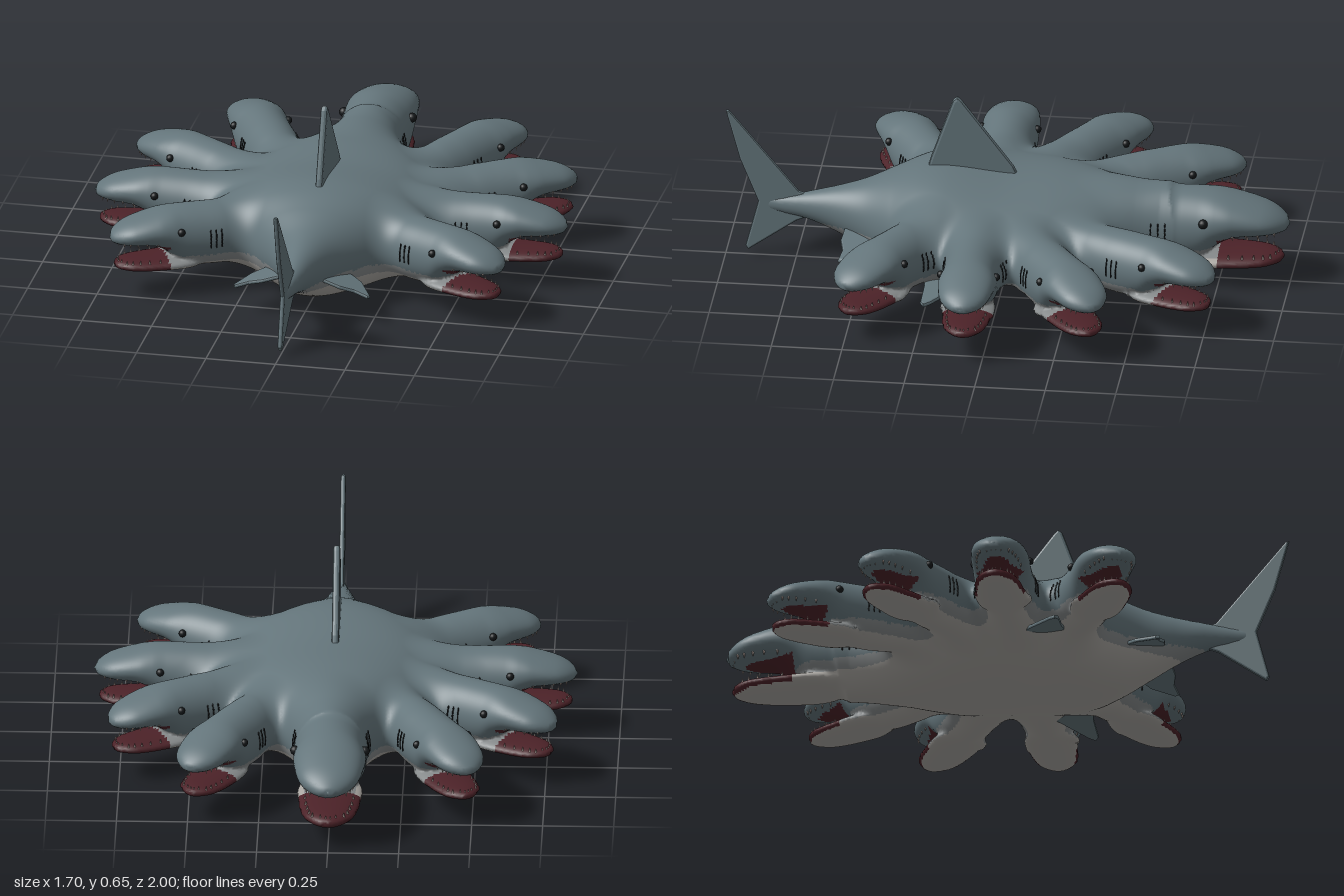
import * as THREE from 'three';
import { mergeGeometries } from 'three/addons/utils/BufferGeometryUtils.js';

// Smooth lookup table from rows of [position, half width, top, bottom]
function profile(rows, n = 600) {
  const lo = rows[0][0], hi = rows[rows.length - 1][0];
  const table = [1, 2, 3].map((c) => {
    const slope = rows.map((_, i) => {
      const a = rows[Math.max(i - 1, 0)], b = rows[Math.min(i + 1, rows.length - 1)];
      return (b[c] - a[c]) / (b[0] - a[0]);
    });
    return Float32Array.from({ length: n + 1 }, (_, q) => {
      const p = lo + (hi - lo) * q / n;
      let i = 0;
      while (i < rows.length - 2 && p > rows[i + 1][0]) i++;
      const h = rows[i + 1][0] - rows[i][0], t = (p - rows[i][0]) / h, t2 = t * t, t3 = t2 * t;
      return (2 * t3 - 3 * t2 + 1) * rows[i][c] + (t3 - 2 * t2 + t) * h * slope[i]
        + (3 * t2 - 2 * t3) * rows[i + 1][c] + (t3 - t2) * h * slope[i + 1];
    });
  });
  const at = (p) => {
    const u = Math.min(Math.max((p - lo) / (hi - lo), 0), 1) * n, i = Math.min(Math.floor(u), n - 1), f = u - i;
    return table.map((v) => v[i] + (v[i + 1] - v[i]) * f);
  };
  // Approximate signed distance to the lofted elliptical tube
  const field = (p, s, y) => {
    const [w0, top, bottom] = at(p);
    const w = Math.max(w0, 0.004), h = Math.max((top - bottom) / 2, 0.004);
    const r = Math.hypot(s / w, (y - (top + bottom) / 2) / h);
    return Math.max((r - 1) * Math.max(Math.min(w, h), 0.02), lo - p, p - hi);
  };
  return { at, field };
}

const trunk = profile([
  [-0.55, 0.08, 0.32, 0.07], [-0.4, 0.19, 0.35, 0.035], [-0.2, 0.34, 0.368, 0.02], [0, 0.4, 0.372, 0.025],
  [0.2, 0.38, 0.39, 0.004], [0.3, 0.31, 0.382, 0.002], [0.4, 0.21, 0.35, 0.02], [0.5, 0.125, 0.31, 0.06],
  [0.6, 0.075, 0.28, 0.11], [0.7, 0.045, 0.255, 0.15], [0.8, 0.02, 0.23, 0.17], [0.86, 0.008, 0.22, 0.18],
]);
const skull = profile([
  [0, 0.004, 0.232, 0.222], [0.01, 0.038, 0.25, 0.208], [0.05, 0.083, 0.28, 0.195], [0.1, 0.108, 0.302, 0.188],
  [0.2, 0.125, 0.33, 0.175], [0.26, 0.128, 0.342, 0.14], [0.32, 0.128, 0.346, 0.085], [0.4, 0.128, 0.345, 0.065],
  [0.5, 0.128, 0.342, 0.06], [0.65, 0.115, 0.33, 0.075], [0.8, 0.08, 0.28, 0.12], [0.9, 0.04, 0.23, 0.17],
]);
const jaw = profile([
  [0.02, 0.004, 0.105, 0.092], [0.03, 0.035, 0.113, 0.083], [0.06, 0.068, 0.121, 0.076], [0.1, 0.09, 0.125, 0.07],
  [0.2, 0.108, 0.127, 0.065], [0.35, 0.11, 0.13, 0.065], [0.45, 0.05, 0.12, 0.08],
]);

// Heads on the centre line and the left side: nose tip x, z, direction, scale
const heads = [
  [0, -1, 0, -1, 1], [0.497, -0.785, 0.447, -0.894, 0.8], [0.784, -0.397, 0.847, -0.532, 0.8],
  [0.852, 0.067, 1, 0, 0.8], [0.705, 0.504, 0.874, 0.486, 0.8],
];
const toLocal = ([tx, tz, dx, dz, k], x, y, z) => [
  -((x - tx) * dx + (z - tz) * dz) / k, ((z - tz) * dx - (x - tx) * dz) / k, 0.2 + (y - 0.2) / k];
const toWorld = ([tx, tz, dx, dz, k], d, s, y) => [
  tx - dx * d * k - dz * s * k, 0.2 + (y - 0.2) * k, tz - dz * d * k + dx * s * k];

function blend(a, b, k) {
  const h = Math.max(k - Math.abs(a - b), 0) / k;
  return Math.min(a, b) - h * h * k / 4;
}

function bodyField(px, y, z) {
  const x = Math.abs(px);
  let f = trunk.field(z, x, y);
  for (const head of heads) {
    const [d, s, v] = toLocal(head, x, y, z);
    if (d < -0.1 || d > 1 || Math.abs(s) > 0.32) continue;
    f = blend(f, blend(skull.field(d, s, v), jaw.field(d, s, v), 0.01) * head[4], 0.07);
  }
  return f;
}

// Mesh the blended body on a grid: one vertex per crossed cell, one quad per crossed edge
function skinBody(classify, groupCount) {
  const cell = 0.0105, min = [-0.903, -0.04, -1.03], n = [173, 47, 184];
  const step = [1, n[0], n[0] * n[1]], total = n[0] * n[1] * n[2];
  const value = new Float32Array(total), vertex = new Int32Array(total).fill(-1);
  const each = (start, fn) => {
    for (let k = start; k < n[2] - 1; k++) for (let j = start; j < n[1] - 1; j++)
      for (let i = start; i < n[0] - 1; i++) fn(i + j * step[1] + k * step[2], [i, j, k]);
  };
  value.fill(1);
  each(0, (id, c) => { value[id] = bodyField(...c.map((q, a) => min[a] + q * cell)); });
  const positions = [], normals = [], groups = Array.from({ length: groupCount }, () => []);
  each(0, (id, c) => {
    const sum = [0, 0, 0];
    let count = 0;
    for (let corner = 0; corner < 8; corner++) for (let a = 0; a < 3; a++) {
      if (corner >> a & 1) continue;
      const o = [corner & 1, corner >> 1 & 1, corner >> 2 & 1];
      const p = id + o[0] + o[1] * step[1] + o[2] * step[2], v0 = value[p], v1 = value[p + step[a]];
      if ((v0 < 0) === (v1 < 0)) continue;
      o[a] = v0 / (v0 - v1);
      o.forEach((q, b) => { sum[b] += q; });
      count++;
    }
    if (!count) return;
    const p = c.map((q, a) => min[a] + (q + sum[a] / count) * cell), e = 0.004;
    const g = [0, 1, 2].map((a) => {
      const u = [...p], v = [...p];
      u[a] += e; v[a] -= e;
      return bodyField(...u) - bodyField(...v);
    });
    vertex[id] = positions.length / 3;
    positions.push(...p);
    normals.push(...new THREE.Vector3(...g).normalize().toArray());
  });
  each(1, (id, c) => {
    for (let a = 0; a < 3; a++) {
      const inside = value[id] < 0;
      if (inside === value[id + step[a]] < 0) continue;
      const sb = step[(a + 1) % 3], sc = step[(a + 2) % 3];
      const q = [id - sb - sc, id - sc, id, id - sb].map((w) => vertex[w]);
      if (!inside) q.reverse();
      const mid = [0, 1, 2].map((b) => q.reduce((t, w) => t + positions[w * 3 + b], 0) / 4);
      groups[classify(...mid)].push(q[0], q[1], q[2], q[0], q[2], q[3]);
    }
  });
  const position = new THREE.Float32BufferAttribute(positions, 3), normal = new THREE.Float32BufferAttribute(normals, 3);
  return groups.map((index) => new THREE.BufferGeometry()
    .setAttribute('position', position).setAttribute('normal', normal).setIndex(index));
}

// Mouth lining, back, flank or belly
function skinZone(x, y, z) {
  for (const head of heads) {
    const [d, s, v] = toLocal(head, Math.abs(x), y, z);
    if (d > -0.02 && d < 0.25 && Math.abs(s) < 0.15 && v > 0.083 && v < 0.192) return 3;
  }
  return y > 0.15 ? 0 : y > 0.115 ? 1 : 2;
}

// Thin bevelled plate from an outline
function finGeometry(points, thickness) {
  const shape = new THREE.Shape(points.map((p) => new THREE.Vector2(...p)));
  const b = thickness * 0.4;
  return new THREE.ExtrudeGeometry(shape, {
    depth: thickness - 2 * b, bevelEnabled: true, bevelThickness: b, bevelSize: b, bevelOffset: -b, bevelSegments: 2,
  }).translate(0, 0, -(thickness - 2 * b) / 2);
}

export function createModel() {
  const group = new THREE.Group();
  const paint = (color) => new THREE.MeshStandardMaterial({ color });
  const back = paint(0x64757b), dark = paint(0x15181a);
  const add = (name, geometry, material) => {
    const mesh = new THREE.Mesh(geometry, material);
    mesh.name = name;
    group.add(mesh);
    return mesh;
  };

  // Blended body with nine heads
  const skins = [back, paint(0x85898a), paint(0xaaa7a2), paint(0x4c2228)];
  skinBody(skinZone, 4).forEach((g, i) => add(['back', 'flank', 'belly', 'mouths'][i], g, skins[i]));

  // Upright fins
  add('dorsalFin', finGeometry([[-0.04, 0.35], [-0.02, 0.395], [0.165, 0.64], [0.18, 0.653], [0.195, 0.64],
    [0.275, 0.41], [0.29, 0.35]], 0.026).rotateY(-Math.PI / 2), back);
  add('tailFin', finGeometry([[0.68, 0.235], [0.74, 0.255], [0.988, 0.555], [1, 0.555], [0.95, 0.37], [0.885, 0.21],
    [0.93, 0.035], [0.92, 0.02], [0.75, 0.14], [0.68, 0.17]], 0.018).rotateY(-Math.PI / 2), back);

  // Paired fins slope down away from the body
  const paired = [
    ['pectoralFin', [[0.22, 0.05], [0.34, 0.08], [0.5, 0.215], [0.52, 0.24], [0.5, 0.252], [0.4, 0.25], [0.22, 0.27]], 0.165, 0.17],
    ['pelvicFin', [[0.03, 0.4], [0.16, 0.45], [0.2, 0.48], [0.245, 0.56], [0.24, 0.575], [0.19, 0.565], [0.14, 0.577],
      [0.08, 0.57], [0.03, 0.54]], 0.175, 0.3],
  ];
  for (const [name, outline, height, slope] of paired) {
    const g = finGeometry(outline, 0.016).rotateX(Math.PI / 2), p = g.attributes.position;
    for (let i = 0; i < p.count; i++) p.setY(i, p.getY(i) + height - slope * p.getX(i));
    g.computeVertexNormals();
    add(name + 'Left', g, back);
    add(name + 'Right', g, back).scale.x = -1;
  }

  // Eyes, gill slits and teeth on every head
  const eyes = [], gills = [], teeth = [];
  heads.forEach((head) => {
    const k = head[4];
    const onSide = (d, y, side) => {
      let s = 0.06;
      while (s < 0.2 && bodyField(...toWorld(head, d, s * side, y)) < 0) s += 0.001;
      return s < 0.2 ? toWorld(head, d, s * side, y) : null;
    };
    for (const side of [-1, 1]) {
      const eye = onSide(0.295, 0.262, side);
      if (eye) eyes.push(new THREE.SphereGeometry(0.017 * k, 14, 10).translate(...eye));
      for (const d of [0.43, 0.455, 0.48]) for (let i = 0; i < 5; i++) {
        const slit = onSide(d, 0.185 + i * 0.016, side);
        if (slit) gills.push(new THREE.SphereGeometry(1, 6, 5).scale(0.003, 0.009, 0.003).translate(...slit));
      }
    }
    for (const [rows, start, turn] of [[skull, 0.025, -1], [jaw, 0.04, 1]]) for (let i = 0; i < 14; i++) {
      const a = (i - 6.5) / 6.5, d = start + 0.17 * a * a, [w, top, bottom] = rows.at(d);
      const y = (top + bottom) / 2 + turn * (top - bottom) / 2 * 0.6;
      const cone = new THREE.ConeGeometry(0.006 * k, 0.022 * k, 5);
      if (turn < 0) cone.rotateX(Math.PI);
      teeth.push(cone.translate(...toWorld(head, d, Math.sign(a) * w * Math.min(0.78, Math.abs(a) * 2), y + turn * 0.006)));
    }
  });
  const parts = [['eyes', eyes, dark], ['gillSlits', gills, dark], ['teeth', teeth, paint(0xb9a9a2)]];
  for (const [name, list, material] of parts) {
    if (!list.length) continue;
    const g = mergeGeometries(list);
    add(name + 'Left', g, material);
    add(name + 'Right', g, material).scale.x = -1;
  }
  return group;
}
